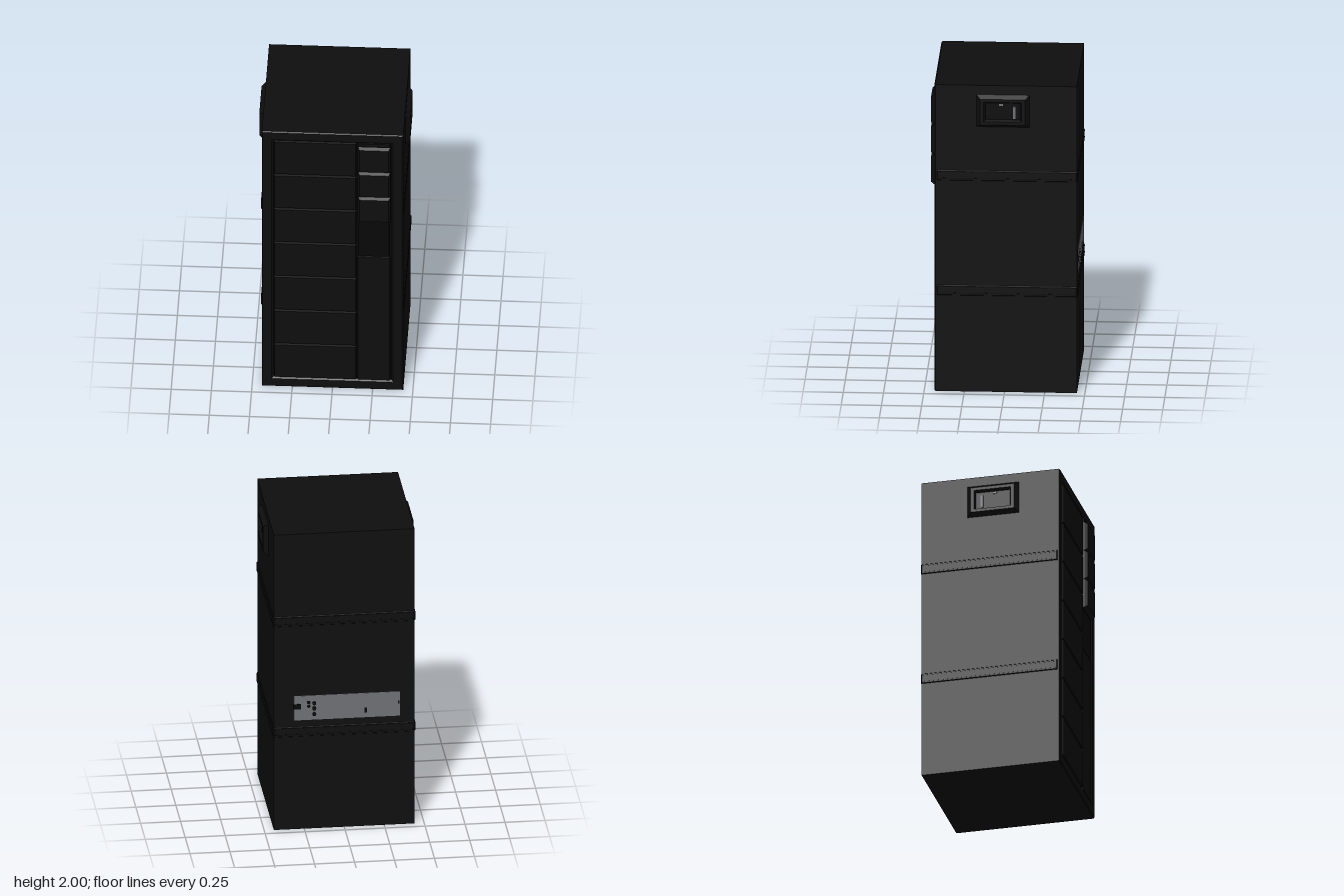
import * as THREE from 'three';

const mat = (name, color) => {
  const m = new THREE.MeshStandardMaterial({ color });
  m.name = name;
  return m;
};

// Flat-shaded loft through centred rectangles [halfWidth, halfHeight, z], capped at the last one.
function loft(rings, cap = true) {
  const pos = [];
  const corners = rings.map(([w, h, z]) => [[-w, -h, z], [w, -h, z], [w, h, z], [-w, h, z]]);
  const quad = (a, b, c, d) => pos.push(...a, ...b, ...c, ...a, ...c, ...d);
  for (let i = 0; i + 1 < corners.length; i++) {
    for (let k = 0; k < 4; k++) {
      const n = (k + 1) % 4;
      quad(corners[i][k], corners[i][n], corners[i + 1][n], corners[i + 1][k]);
    }
  }
  if (cap) quad(...corners[corners.length - 1]);
  const g = new THREE.BufferGeometry();
  g.setAttribute('position', new THREE.Float32BufferAttribute(pos, 3));
  g.computeVertexNormals();
  return g;
}

// Plate with chamfered edges, rising from z = 0 to z = depth.
const plate = (w, h, depth, inset) =>
  loft([[w / 2, h / 2, 0], [w / 2 - inset, h / 2 - inset, depth]]);

export function createModel() {
  const black = mat('cabinet black', 0x0e0e0e);
  const dark = mat('recess black', 0x070707);
  const steel = mat('steel grey', 0x707176);
  const root = new THREE.Group();

  const add = (name, geo, material, x, y, z, rotY = 0, parent = root) => {
    const m = new THREE.Mesh(geo, material);
    m.name = name;
    m.position.set(x, y, z);
    m.rotation.y = rotY;
    parent.add(m);
    return m;
  };

  // Cabinet shell
  add('cabinetBody', new THREE.BoxGeometry(0.88, 2, 0.872), black, 0, 1, -0.014);

  // Bevelled frame around the front
  add('frontFrame', loft([
    [0.44, 1, 0.422], [0.44, 1, 0.43], [0.434, 0.994, 0.437],
    [0.378, 0.938, 0.437], [0.366, 0.926, 0.424],
  ], false), black, 0, 1, 0);

  // Seven bay covers on the left of the front
  const bays = 7, low = 0.07, pitch = 1.86 / bays;
  for (let i = 0; i < bays; i++) {
    add('bayCover', plate(0.512, pitch - 0.006, 0.016, 0.005), black,
      -0.108, low + pitch * (i + 0.5), 0.422);
  }

  // Narrow column on the right: long lower cover, dark panel, three raised modules
  add('columnCover', plate(0.205, 0.97, 0.012, 0.004), black, 0.257, 0.555, 0.422);
  add('columnPanel', plate(0.2, 0.28, 0.01, 0.004), dark, 0.257, 1.18, 0.422);
  add('columnBacking', plate(0.205, 0.6, 0.014, 0.003), black, 0.257, 1.63, 0.422);
  for (const y of [1.42, 1.615, 1.81]) {
    add('raisedModule', loft([
      [0.1, 0.096, 0.43], [0.1, 0.096, 0.442], [0.09, 0.084, 0.461],
    ]), black, 0.26, y, 0);
  }

  // Raised bands round the sides and back
  for (const y of [0.66, 1.41]) {
    for (const s of [-1, 1]) {
      add('sideBand', plate(0.87, 0.066, 0.005, 0.004), black, s * 0.44, y, -0.015, s * Math.PI / 2);
      for (const dy of [-0.018, 0.024]) {
        add('sideBandGroove', new THREE.BoxGeometry(0.85, 0.005, 0.002), dark,
          s * 0.4448, y + dy, -0.015, s * Math.PI / 2);
      }
    }
    add('backBand', plate(0.88, 0.066, 0.004, 0.003), black, 0, y, -0.45, Math.PI);
    for (const dy of [-0.018, 0.024]) {
      add('backBandGroove', new THREE.BoxGeometry(0.87, 0.005, 0.002), dark, 0, y + dy, -0.4538);
    }
  }

  // Carrying handles with a recessed cup and small steel fittings
  for (const s of [-1, 1]) {
    const handle = new THREE.Group();
    handle.name = s > 0 ? 'leftHandle' : 'rightHandle';
    handle.position.set(s * 0.44, 1.835, 0.01);
    handle.rotation.y = s * Math.PI / 2;
    root.add(handle);
    add('handleRim', loft([
      [0.165, 0.105, 0], [0.14, 0.083, 0.03], [0.118, 0.064, 0.03], [0.108, 0.054, 0.008],
    ], false), black, 0, 0, 0, 0, handle);
    add('handleCup', new THREE.PlaneGeometry(0.218, 0.11), dark, 0, 0, 0.008, 0, handle);
    add('handleFitting', new THREE.BoxGeometry(0.016, 0.08, 0.004), steel, s * 0.07, -0.008, 0.01, 0, handle);
    add('handleFitting', new THREE.BoxGeometry(0.025, 0.012, 0.004), steel, s * -0.012, 0.042, 0.01, 0, handle);
  }

  // Connector plate on the back
  add('connectorPlate', new THREE.BoxGeometry(0.665, 0.165, 0.006), steel, -0.017, 0.82, -0.45);
  const round = (r, depth) => new THREE.CylinderGeometry(r, r, depth, 12).rotateX(Math.PI / 2);
  for (const y of [0.777, 0.815, 0.85]) {
    add('plug', round(0.012, 0.02), black, 0.188, y, -0.453);
  }
  for (const y of [0.83, 0.856]) add('socket', round(0.011, 0.004), dark, 0.222, y, -0.4525);
  add('powerInlet', new THREE.BoxGeometry(0.045, 0.035, 0.004), dark, 0.293, 0.83, -0.4525);
  add('socket', new THREE.BoxGeometry(0.014, 0.035, 0.004), dark, -0.134, 0.786, -0.4525);
  add('socket', new THREE.BoxGeometry(0.01, 0.02, 0.004), dark, -0.342, 0.83, -0.4525);

  return root;
}
